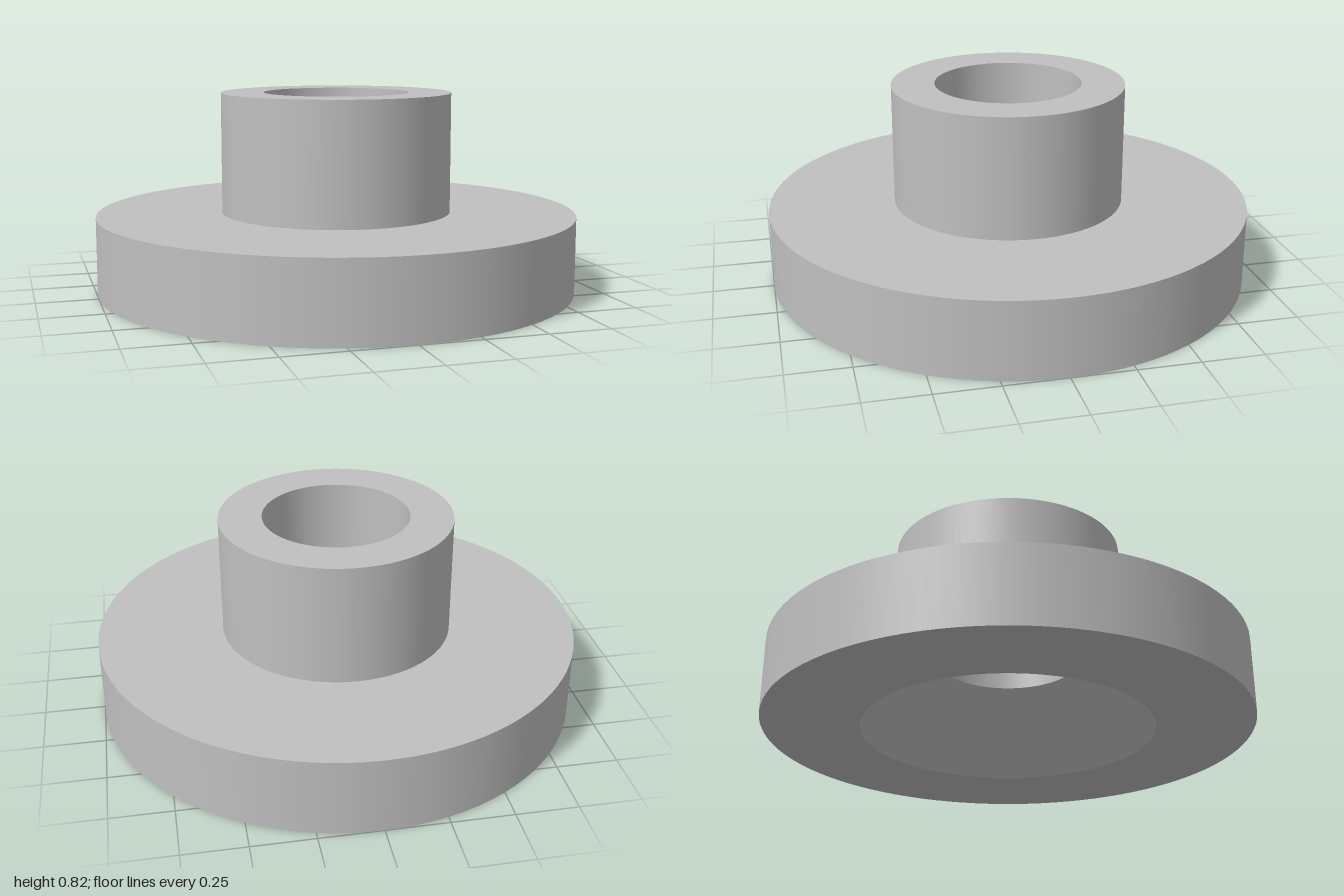
import * as THREE from 'three';

export function createModel() {
  const group = new THREE.Group();
  group.name = 'flangedBushing';
  const metal = new THREE.MeshStandardMaterial({ color: 0xc0c0c0 });
  metal.name = 'grey metal';

  const outer = 1, hub = 0.48, bore = 0.302, mouth = 0.602; // radii
  const flangeTop = 0.318, hubTop = 0.818; // heights

  // Each surface is its own lathe, so the edges between them stay sharp
  const surface = (name, r0, y0, r1, y1) => {
    const profile = [new THREE.Vector2(r0, y0), new THREE.Vector2(r1, y1)];
    const mesh = new THREE.Mesh(new THREE.LatheGeometry(profile, 96), metal);
    mesh.name = name;
    group.add(mesh);
  };

  // Closed profile: underside, outside, top, then down through the bore
  surface('flangeUnderside', mouth, 0, outer, 0);
  surface('flangeRim', outer, 0, outer, flangeTop);
  surface('flangeTop', outer, flangeTop, hub, flangeTop);
  surface('hubWall', hub, flangeTop, hub, hubTop);
  surface('hubTop', hub, hubTop, bore, hubTop);
  surface('boreWall', bore, hubTop, bore, flangeTop);
  surface('countersink', bore, flangeTop, mouth, 0);

  return group;
}
